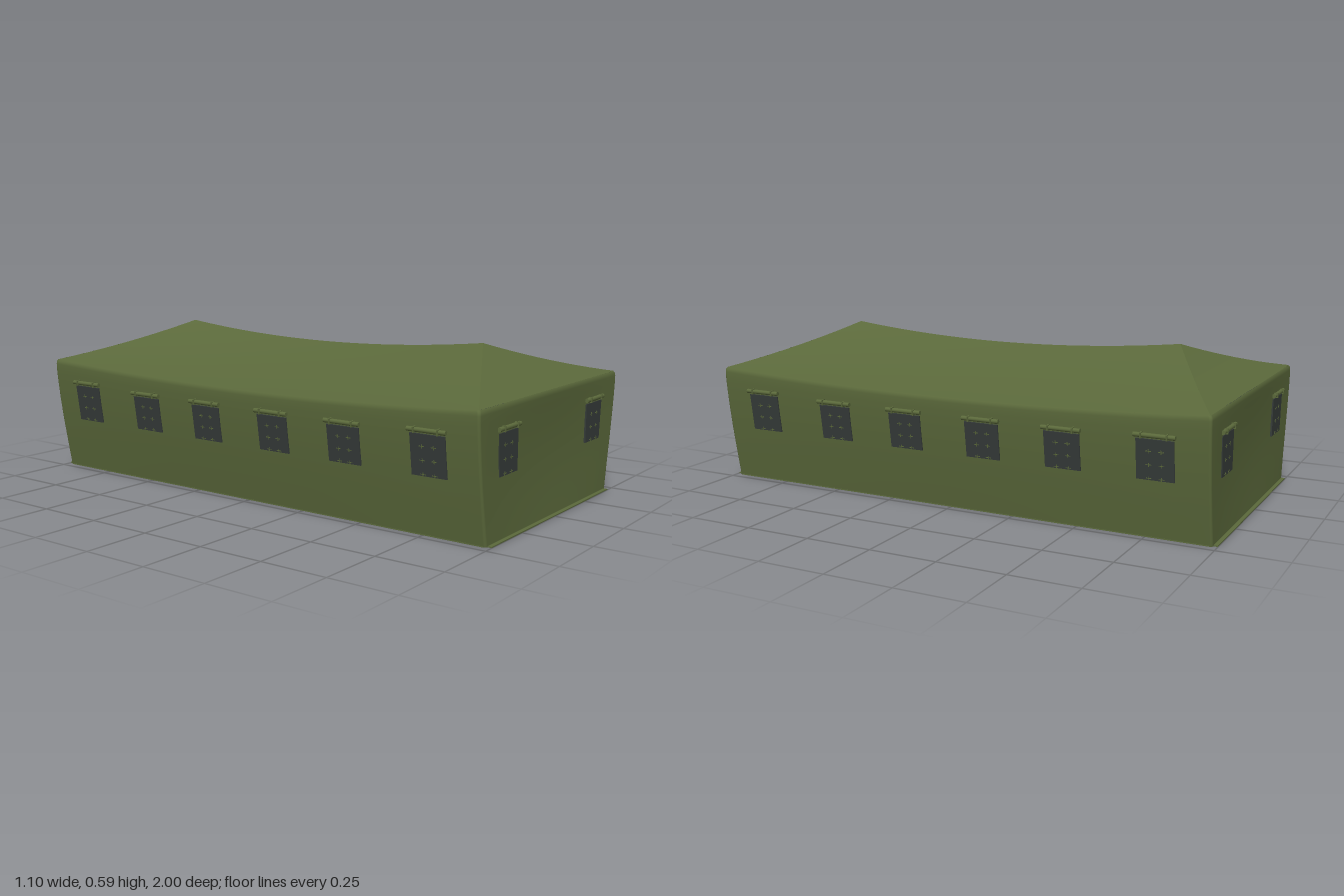
import * as THREE from 'three';
import { mergeVertices } from 'three/addons/utils/BufferGeometryUtils.js';

const canvas = new THREE.MeshStandardMaterial({ color: 0x5b693b, side: THREE.DoubleSide });
canvas.name = 'olive canvas';
const netting = new THREE.MeshStandardMaterial({ color: 0x363c3a });
netting.name = 'dark window netting';

// Smooth grid surface from a point function of u and v in 0..1
function patch(fn, nu, nv) {
  const pos = [], index = [];
  for (let j = 0; j <= nv; j++)
    for (let i = 0; i <= nu; i++) pos.push(...fn(i / nu, j / nv, i, j));
  const w = nu + 1;
  for (let j = 0; j < nv; j++)
    for (let i = 0; i < nu; i++) {
      const a = j * w + i;
      index.push(a, a + 1, a + w + 1, a, a + w + 1, a + w);
    }
  let g = new THREE.BufferGeometry();
  g.setAttribute('position', new THREE.Float32BufferAttribute(pos, 3));
  g.setIndex(index);
  g = mergeVertices(g, 1e-5);
  g.computeVertexNormals();
  return g;
}

function add(parent, name, geometry, material, x = 0, y = 0, z = 0) {
  const m = new THREE.Mesh(geometry, material);
  m.name = name;
  m.position.set(x, y, z);
  parent.add(m);
  return m;
}

// Wall profile: fraction of height, half width, half length
const PROFILE = [
  [0, 0.47, 0.985], [0.22, 0.488, 0.985], [0.45, 0.506, 0.985], [0.65, 0.519, 0.985],
  [0.8, 0.527, 0.985], [0.9, 0.531, 0.985], [0.96, 0.532, 0.985], [0.985, 0.531, 0.984], [1, 0.526, 0.979],
];
const eaveY = z => 0.45 - 0.03 * Math.max(0, 1 - (z / 0.979) ** 2);
const inset = (x, f) => 0.01 * Math.sin(Math.PI * f) * Math.max(0, Math.cos(Math.PI * x / 1.06));

function halfWidth(f) {
  const k = Math.max(1, PROFILE.findIndex(p => p[0] >= f));
  const [a, b] = [PROFILE[k - 1], PROFILE[k]];
  return a[1] + (b[1] - a[1]) * (f - a[0]) / (b[0] - a[0]);
}

// Rounded rectangle followed round the tent, starting mid front
function ringPlan(w, l) {
  const r = 0.01, pts = [];
  const corners = [[1, 1], [1, -1], [-1, -1], [-1, 1]];
  corners.forEach(([sx, sz], c) => {
    for (let k = 0; k <= 4; k++) {
      const a = Math.PI / 2 * (1 - c - k / 4);
      pts.push([sx * (w - r) + r * Math.cos(a), sz * (l - r) + r * Math.sin(a)]);
    }
    const next = corners[(c + 1) % 4], n = 16, p = pts[pts.length - 1];
    const along = c % 2 === 0;
    const q = along ? [p[0], next[1] * (l - r)] : [next[0] * (w - r), p[1]];
    for (let k = 1; k < n; k++)
      pts.push([p[0] + (q[0] - p[0]) * k / n, p[1] + (q[1] - p[1]) * k / n]);
  });
  pts.push(pts[0]);
  return pts;
}

function buildWalls() {
  const rings = PROFILE.map(([, w, l]) => ringPlan(w, l));
  return patch((u, v, i, j) => {
    const [x, z] = rings[j][i], f = PROFILE[j][0];
    const end = Math.abs(z) > PROFILE[j][2] - 0.001;
    return [x, f * eaveY(z), end ? z - Math.sign(z) * inset(x, f) : z];
  }, rings[0].length - 1, PROFILE.length - 1);
}

// Roof slopes sag between eave and ridge, and along the ridge
const sag = v => 0.04 * v * (1 - v);
const sideSlope = (u, v) => {
  const t = 1 - 2 * u, z = 0.978 * t;
  const e = eaveY(z), ridge = 0.587 - 0.042 * (1 - t * t);
  return [0.526 * (1 - v), e + (ridge - e) * v - sag(v), z + (0.7 * t - z) * v];
};
const endSlope = (u, v) => [
  0.526 * (2 * u - 1) * (1 - v), 0.45 + 0.137 * v - sag(v), 0.978 - 0.278 * v,
];

// Netting window with stitched crosses and a rolled flap above; lean tapers one lower corner
function buildWindow(name, height, lean) {
  const g = new THREE.Group(), w = 0.132;
  g.name = name;
  const s = new THREE.Shape();
  s.moveTo(-w / 2 + Math.max(0, lean), 0);
  s.lineTo(w / 2 + Math.min(0, lean), 0);
  s.lineTo(w / 2, height);
  s.lineTo(-w / 2, height);
  s.closePath();
  const pane = new THREE.ExtrudeGeometry(s, { depth: 0.008, bevelEnabled: false });
  add(g, 'windowNetting', pane, netting, 0, 0, -0.004);
  for (let i = 1; i < 3; i++)
    for (let j = 0; j < 3; j++) {
      const x = -w / 2 + w * i / 3, y = height * j / 3 + 0.006;
      add(g, 'stitchAcross', new THREE.BoxGeometry(0.02, 0.0025, 0.002), canvas, x, y, 0.004);
      add(g, 'stitchUpright', new THREE.BoxGeometry(0.0025, 0.014, 0.002), canvas, x, y, 0.004);
    }
  const roll = add(g, 'rolledFlap', new THREE.CylinderGeometry(0.008, 0.008, 0.145, 10), canvas, 0, height + 0.014, 0.006);
  roll.rotation.z = Math.PI / 2;
  for (const x of [-0.045, 0.045])
    add(g, 'flapStrap', new THREE.BoxGeometry(0.005, 0.02, 0.02), canvas, x, height + 0.014, 0.006);
  return g;
}

export function createModel() {
  const tent = new THREE.Group();
  tent.name = 'tent';
  add(tent, 'walls', buildWalls(), canvas);

  for (const turn of [0, Math.PI]) {
    add(tent, 'roofSideSlope', patch(sideSlope, 32, 10), canvas).rotation.y = turn;
    add(tent, 'roofEndSlope', patch(endSlope, 20, 10), canvas).rotation.y = turn;
  }

  // Ground hem
  for (const s of [-1, 1]) {
    add(tent, 'endHem', new THREE.BoxGeometry(0.92, 0.004, 0.016), canvas, 0, 0.002, s * 0.992);
    add(tent, 'sideHem', new THREE.BoxGeometry(0.01, 0.004, 1.95), canvas, s * 0.466, 0.002, 0);
  }

  // Side windows follow the sagging eave and the tilt of the wall
  for (const side of [1, -1])
    for (const z of [-0.797, -0.465, -0.158, 0.158, 0.465, 0.797]) {
      const outer = Math.abs(z) > 0.7, y0 = 0.212, h = outer ? 0.143 : 0.132;
      const xLow = halfWidth(y0 / eaveY(z)), xHigh = halfWidth((y0 + h) / eaveY(z));
      const win = buildWindow('sideWindow', h, 0);
      win.rotation.order = 'YXZ';
      win.rotation.set(Math.atan2(xHigh - xLow, h), side * Math.PI / 2, 0);
      win.position.set(side * (xLow + 0.001), y0, z);
      tent.add(win);
    }

  // Two windows in each end wall
  for (const end of [1, -1])
    for (const x of [-0.335, 0.335]) {
      const win = buildWindow('endWindow', 0.143, -Math.sign(x * end) * 0.011);
      win.position.set(x, 0.214, end * (0.986 - inset(x, 0.62)));
      if (end < 0) win.rotation.y = Math.PI;
      tent.add(win);
    }
  return tent;
}
